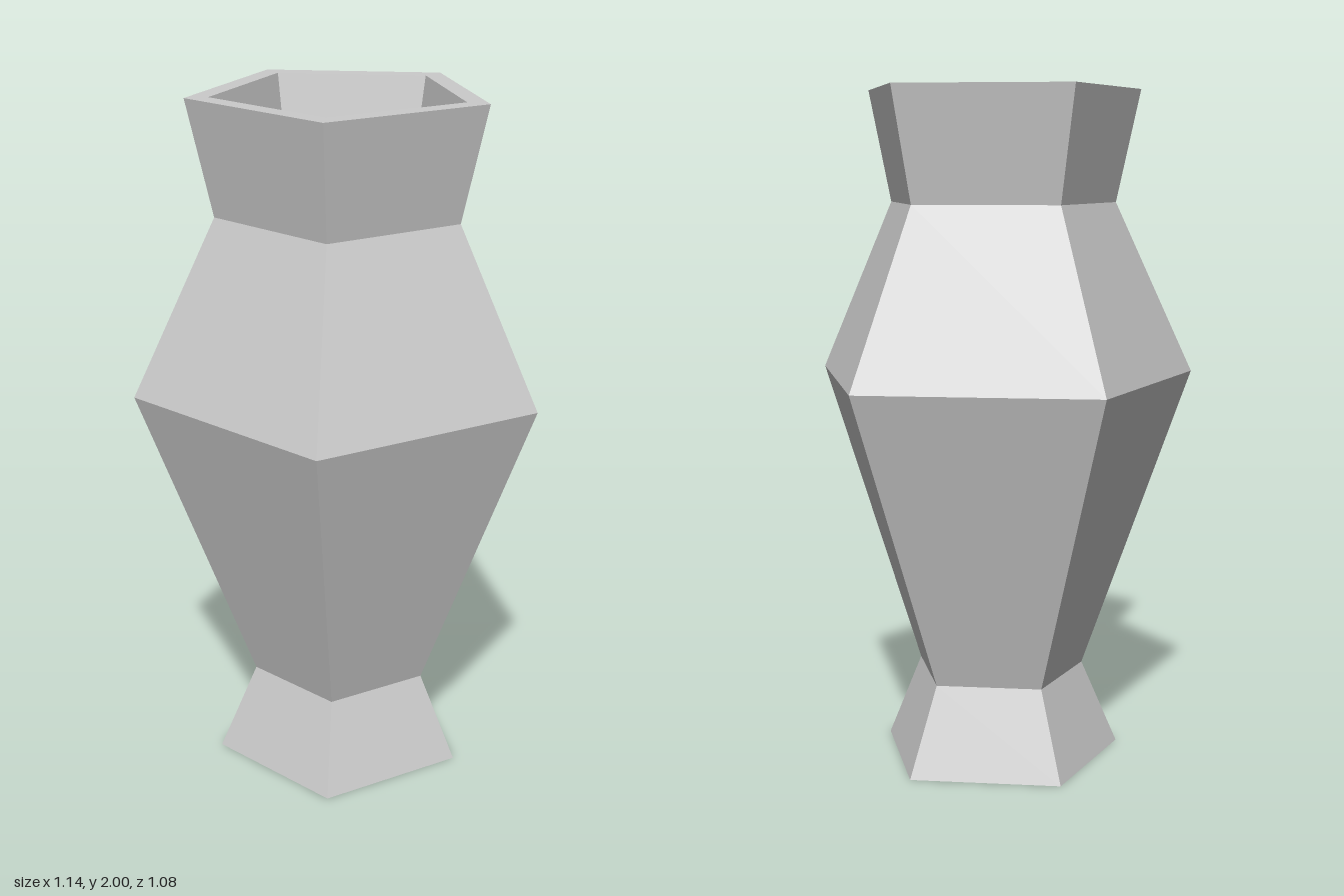
import * as THREE from 'three';

export function createModel() {
  const group = new THREE.Group();
  const material = new THREE.MeshStandardMaterial({ color: 0xcccccc, flatShading: true });

  // Closed profile [radius, y]: base, outer wall, rim, inner wall, inner floor
  const profile = [
    [0, 0], [0.376, 0], [0.264, 0.26], [0.597, 1.16], [0.356, 1.67], [0.43, 2],
    [0.364, 2], [0.302, 1.67], [0.507, 1.16], [0.233, 0.29], [0, 0.29],
  ].map(([r, y]) => new THREE.Vector2(r, y));

  // Five-sided body with one corner pointing to the back
  const geometry = new THREE.LatheGeometry(profile, 5, Math.PI);

  // Centre the pentagon's depth, with a slight lean below the belly
  const pos = geometry.attributes.position;
  for (let i = 0; i < pos.count; i++) {
    const lean = THREE.MathUtils.clamp((1.16 - pos.getY(i)) / 0.9, 0, 1);
    pos.setX(i, pos.getX(i) - 0.002 * lean);
    pos.setZ(i, pos.getZ(i) + 0.057 + 0.01 * lean);
  }
  const flat = geometry.toNonIndexed();
  flat.computeVertexNormals();

  const vase = new THREE.Mesh(flat, material);
  vase.name = 'vase';
  group.add(vase);
  return group;
}
